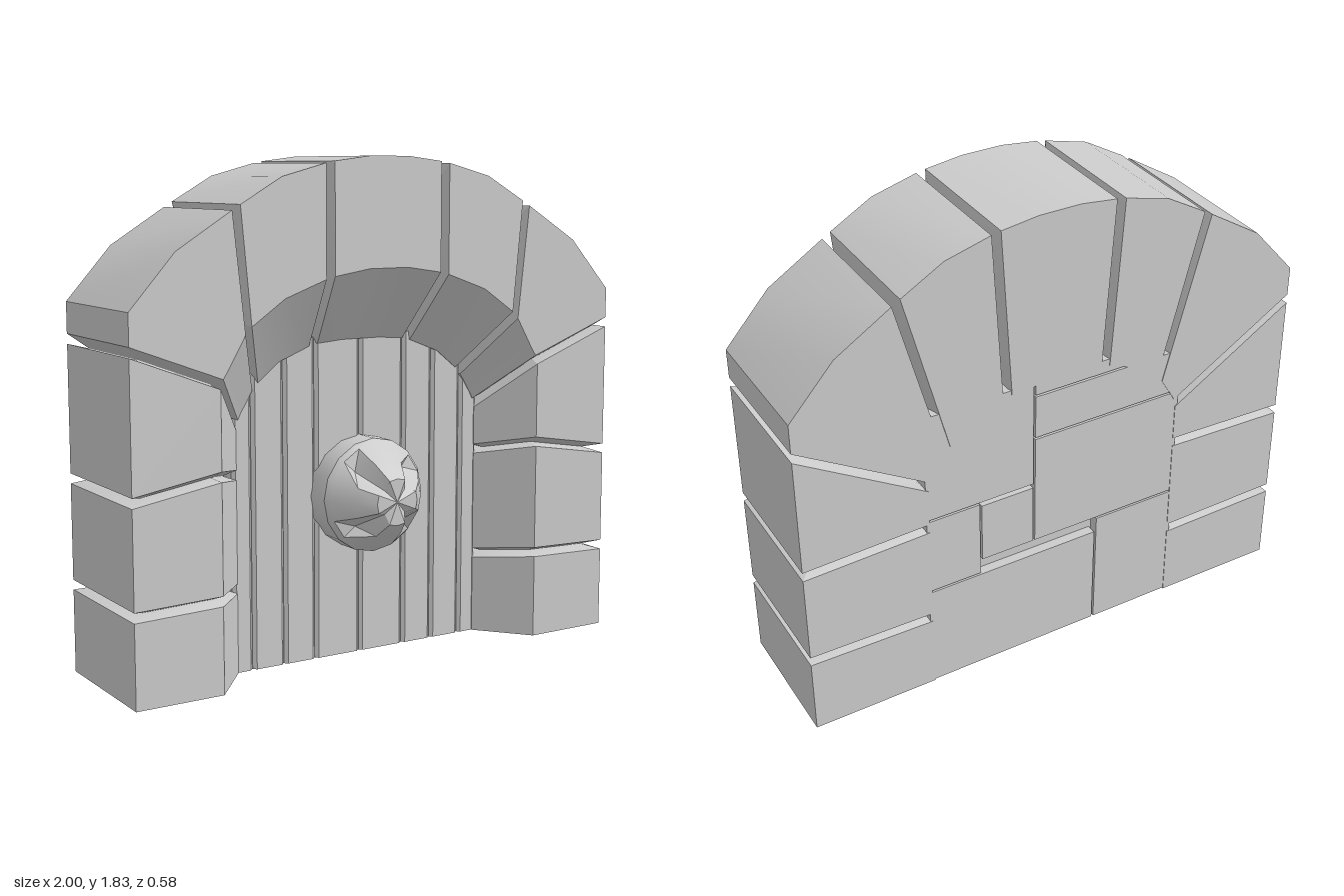
import * as THREE from 'three';
import { toCreasedNormals } from 'three/addons/utils/BufferGeometryUtils.js';

const material = new THREE.MeshStandardMaterial({ color: 0xcccccc });
const BACK = -0.29, DOOR = 0.04, FRONT = 0.23;

// A station is [innerX, innerY, frontX, frontY, outerX, outerY] across the arch
const sideBlocks = [
  [[0.515, 0, 0.67, 0, 1, 0], [0.515, 0.31, 0.67, 0.33, 1, 0.32]],
  [[0.515, 0.31, 0.67, 0.33, 1, 0.32], [0.515, 0.72, 0.67, 0.76, 1, 0.705]],
  [[0.515, 0.72, 0.67, 0.76, 1, 0.705], [0.515, 0.9, 0.67, 1.075, 1, 1.2]],
  [[0.515, 0.9, 0.67, 1.075, 1, 1.2], [0.495, 0.94, 0.635, 1.13, 1, 1.33],
    [0.47, 0.98, 0.6, 1.19, 0.83, 1.52], [0.44, 1.03, 0.565, 1.25, 0.605, 1.66]],
  [[0.44, 1.03, 0.565, 1.25, 0.605, 1.66], [0.34, 1.11, 0.42, 1.35, 0.43, 1.76],
    [0.2, 1.165, 0.24, 1.415, 0.24, 1.81]],
];
const mirror = (stations) => stations.map((s) => s.map((v, i) => (i % 2 ? v : -v))).reverse();
const keyHalf = [[0.2, 1.165, 0.24, 1.415, 0.24, 1.81], [0.08, 1.175, 0.08, 1.44, 0.08, 1.83]];

const ringOf = ([ix, iy, fx, fy, ox, oy]) => [
  new THREE.Vector3(ix, iy, BACK), new THREE.Vector3(ix, iy, DOOR),
  new THREE.Vector3(fx, fy, FRONT), new THREE.Vector3(ox, oy, FRONT),
  new THREE.Vector3(ox, oy, BACK),
];

// Skins a list of equal-sized closed rings
function loft(rings) {
  const pos = [];
  const n = rings[0].length;
  const tri = (a, b, c) => {
    const area = b.clone().sub(a).cross(c.clone().sub(a)).length();
    if (area > 1e-9) [a, b, c].forEach((p) => pos.push(p.x, p.y, p.z));
  };
  for (let i = 0; i < rings.length - 1; i++) {
    for (let j = 0; j < n; j++) {
      const k = (j + 1) % n;
      const [a, b, c, d] = [rings[i][j], rings[i][k], rings[i + 1][j], rings[i + 1][k]];
      tri(a, b, d);
      tri(a, d, c);
    }
  }
  const g = new THREE.BufferGeometry();
  g.setAttribute('position', new THREE.Float32BufferAttribute(pos, 3));
  return toCreasedNormals(g, 0.45);
}

// Block end: cap centre, inset ring touching the neighbour, pulled-back edge
function blockEnd(ring, next) {
  const centre = ring.reduce((s, p) => s.add(p), new THREE.Vector3()).divideScalar(ring.length);
  const middle = ring.map(() => centre);
  if (ring.every((p) => p.y === 0)) return [middle, ring];
  const inset = ring.map((p) => p.clone().lerp(centre, 0.22));
  const edge = ring.map((p, i) => p.clone().lerp(next[i], Math.min(0.4, 0.018 / p.distanceTo(next[i]))));
  return [middle, inset, edge];
}

function stoneBlock(stations) {
  const r = stations.map(ringOf);
  const n = r.length;
  return loft([
    ...blockEnd(r[0], r[1]), ...r.slice(1, -1), ...blockEnd(r[n - 1], r[n - 2]).reverse(),
  ]);
}

// Upright plank with chamfered front edges
function plank(x0, x1, height) {
  const c = 0.012, z0 = -0.03, z1 = DOOR - 0.003;
  const outline = [[x0, z0], [x0, z1 - c], [x0 + c, z1], [x1 - c, z1], [x1, z1 - c], [x1, z0]];
  const shape = new THREE.Shape(outline.map(([x, z]) => new THREE.Vector2(x, -z)));
  const g = new THREE.ExtrudeGeometry(shape, { depth: height, bevelEnabled: false });
  return g.rotateX(-Math.PI / 2);
}

// Faceted boss: round rim, then ridges and valleys rising to a flat tip
function bossGeometry() {
  const n = 16;
  const ring = (r, z, valleyR, valleyZ) => Array.from({ length: n }, (_, i) => {
    const a = (i / n) * Math.PI * 2;
    const v = i % 4 === 2;
    const rr = v ? valleyR : r;
    return new THREE.Vector3(Math.cos(a) * rr, Math.sin(a) * rr, v ? valleyZ : z);
  });
  const flat = (r, z) => ring(r, z, r, z);
  return loft([
    flat(0.21, 0.02), flat(0.21, 0.13), flat(0.195, 0.15),
    ring(0.14, 0.23, 0.14, 0.16), ring(0.085, 0.288, 0.06, 0.27), flat(0, 0.288),
  ]);
}

export function createModel() {
  const model = new THREE.Group();
  const add = (parent, name, geometry) => {
    const mesh = new THREE.Mesh(geometry, material);
    mesh.name = name;
    parent.add(mesh);
    return mesh;
  };
  const group = (name) => {
    const g = new THREE.Group();
    g.name = name;
    model.add(g);
    return g;
  };

  // Stone surround
  const arch = group('stoneArch');
  sideBlocks.forEach((b, i) => {
    const kind = i < 3 ? 'pillarStone' : 'archStone';
    add(arch, `${kind}Left${i + 1}`, stoneBlock(b));
    add(arch, `${kind}Right${i + 1}`, stoneBlock(mirror(b)));
  });
  add(arch, 'keystone', stoneBlock([...keyHalf, ...mirror(keyHalf)]));

  // Door planks, their tops buried in the arch
  const door = group('door');
  const seams = [-0.53, -0.45, -0.32, -0.19, 0, 0.19, 0.32, 0.45, 0.53];
  for (let i = 0; i < seams.length - 1; i++) {
    const outer = Math.max(Math.abs(seams[i]), Math.abs(seams[i + 1]));
    const top = outer > 0.5 ? 1.04 : outer > 0.4 ? 1.13 : 1.19;
    add(door, `plank${i + 1}`, plank(seams[i] + 0.001, seams[i + 1] - 0.001, top));
  }

  // Door boss
  const boss = add(door, 'doorBoss', bossGeometry());
  boss.position.y = 0.61;

  // Brick infill behind the door: x0, x1, y0, y1
  const wall = group('backWall');
  const bricks = [
    [-0.18, 0.53, 0, 0.43], [-0.53, -0.18, 0, 0.49], [0.31, 0.53, 0.43, 0.75],
    [0.09, 0.31, 0.49, 0.74], [-0.53, 0.09, 0.49, 0.95], [0.09, 0.53, 0.75, 1.19],
    [-0.53, 0.09, 0.95, 1.13], [-0.36, 0.09, 1.13, 1.19],
  ];
  bricks.forEach(([x0, x1, y0, y1], i) => {
    const gap = 0.008;
    const g = new THREE.BoxGeometry(x1 - x0 - gap, y1 - y0 - gap, 0.14);
    g.translate((x0 + x1) / 2, (y0 + y1) / 2, BACK + 0.072);
    add(wall, `brick${i + 1}`, g);
  });
  const mortar = new THREE.BoxGeometry(1.04, 1.12, 0.11).translate(0, 0.565, -0.195);
  add(wall, 'mortar', mortar);

  return model;
}
